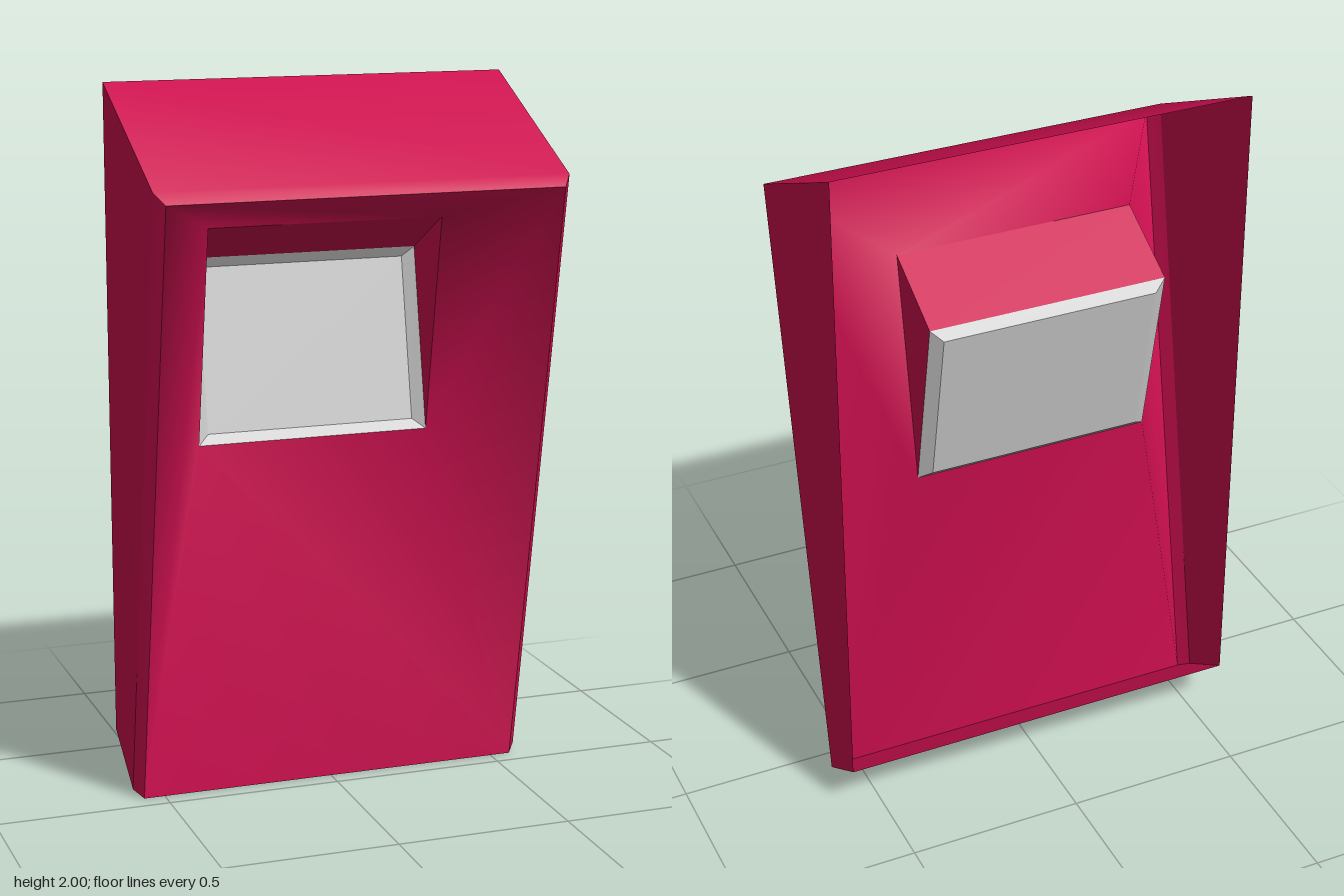
import * as THREE from 'three';
import { toCreasedNormals } from 'three/addons/utils/BufferGeometryUtils.js';

// Four-corner ring: bottom left, bottom right, top right, top left as seen from the front
function ring(x0, x1, yBottom, zBottom, yTop, zTop) {
  return [[x0, yBottom, zBottom], [x1, yBottom, zBottom], [x1, yTop, zTop], [x0, yTop, zTop]];
}

// Joins successive rings with quads, dropping collapsed triangles; cap closes the last ring
function loft(rings, cap = false) {
  const pts = rings.flat();
  const index = [];
  const same = (a, b) => pts[a].every((v, k) => v === pts[b][k]);
  const tri = (a, b, c) => {
    if (!same(a, b) && !same(b, c) && !same(a, c)) index.push(a, b, c);
  };
  for (let r = 0; r < rings.length - 1; r++) {
    for (let i = 0; i < 4; i++) {
      const a = r * 4 + i, b = r * 4 + (i + 1) % 4;
      tri(a, b, a + 4);
      tri(b, b + 4, a + 4);
    }
  }
  if (cap) {
    const n = (rings.length - 1) * 4;
    tri(n, n + 1, n + 2);
    tri(n, n + 2, n + 3);
  }
  const g = new THREE.BufferGeometry();
  g.setAttribute('position', new THREE.Float32BufferAttribute(pts.flat(), 3));
  g.setIndex(index);
  g.computeVertexNormals();
  return g;
}

export function createModel() {
  const group = new THREE.Group();
  const red = new THREE.MeshStandardMaterial({ color: 0xcc0f4f, side: THREE.DoubleSide });
  const grey = new THREE.MeshStandardMaterial({ color: 0xcccccc, side: THREE.DoubleSide });
  const add = (name, geometry, material) => {
    const mesh = new THREE.Mesh(geometry, material);
    mesh.name = name;
    group.add(mesh);
  };

  const back = ring(-0.585, 0.585, 0.14, -0.265, 2, -0.265);
  const wallFront = ring(-0.585, 0.585, 0.02, -0.085, 1.76, 0.235);
  const rim = ring(-0.56, 0.56, 0, -0.055, 1.73, 0.268);
  const mouth = ring(-0.36, 0.32, 0.99, -0.143, 1.62, -0.03);
  const opening = ring(-0.36, 0.32, 0.99, -0.143, 1.505, -0.245);
  const panelFace = ring(-0.325, 0.288, 1.015, -0.172, 1.475, -0.263);

  // Open-backed outer walls with a chamfered front edge
  add('outerShell', toCreasedNormals(loft([back, wallFront, rim]), 0.5), red);
  // Smooth funnel sinking from the rim to the window
  add('frontFunnel', loft([rim, mouth]), red);
  // Ceiling and side cheeks above the tilted window
  add('windowReveal', toCreasedNormals(loft([mouth, opening]), 0.5), red);
  // Shallow pan-shaped window, pushed backwards
  add('windowPanel', toCreasedNormals(loft([opening, panelFace], true), 0.3), grey);

  return group;
}
